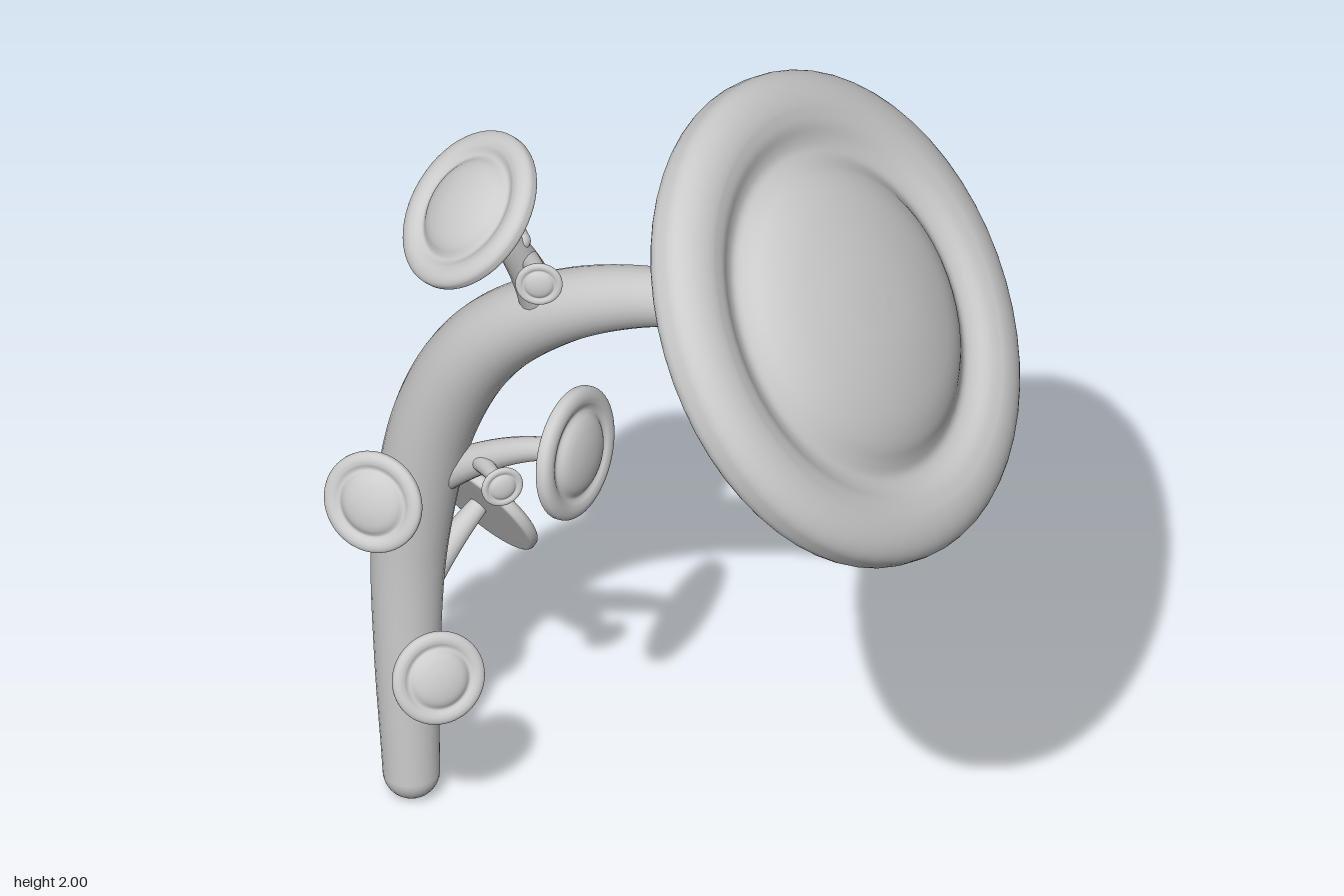
import * as THREE from 'three';

const V = (x, y, z) => new THREE.Vector3(x, y, z);

// Unit cap profile: flat back, small back fillet, broad rounded rim, groove and high central dome
function capGeometry() {
  const pts = [new THREE.Vector2(0, -0.11), new THREE.Vector2(0.6, -0.11), new THREE.Vector2(0.93, -0.11)];
  for (let i = 1; i <= 5; i++) {
    const a = -Math.PI / 2 + (i / 5) * Math.PI / 2;
    pts.push(new THREE.Vector2(0.945 + 0.055 * Math.cos(a), -0.045 + 0.065 * Math.sin(a)));
  }
  for (let i = 0; i <= 10; i++) {
    const a = (i / 10) * Math.PI / 2;
    pts.push(new THREE.Vector2(0.84 + 0.16 * Math.cos(a), 0.11 * Math.sin(a)));
  }
  const face = new THREE.SplineCurve([
    [0.84, 0.11], [0.77, 0.097], [0.71, 0.065], [0.66, 0.055], [0.61, 0.085],
    [0.55, 0.135], [0.45, 0.185], [0.3, 0.225], [0.15, 0.247], [0, 0.253],
  ].map(([x, y]) => new THREE.Vector2(x, y)));
  pts.push(...face.getPoints(32).slice(1));
  pts[pts.length - 1].x = 0;
  return new THREE.LatheGeometry(pts, 56);
}

// Tube whose rings are rescaled about the path, radius(t) for t in 0..1
function taperedTube(path, radius, segments, sides) {
  const geo = new THREE.TubeGeometry(path, segments, 1, sides);
  const pos = geo.attributes.position;
  const p = V(0, 0, 0);
  for (let i = 0; i < pos.count; i++) {
    const t = Math.floor(i / (sides + 1)) / segments;
    const c = path.getPointAt(t);
    p.fromBufferAttribute(pos, i).sub(c).multiplyScalar(radius(t)).add(c);
    pos.setXYZ(i, p.x, p.y, p.z);
  }
  geo.computeBoundingSphere();
  return geo;
}

// Sprouts: branch start, cap centre, cap normal, cap radius, bend length
const SPROUTS = [
  { name: 'lowFrontSprout', start: [-0.42, 0.27, -0.46], at: [-0.432, 0.435, -0.27], n: [0, 0.34, 0.94], r: 0.096, bend: 0.12 },
  { name: 'lowBackSprout', start: [-0.43, 0.43, -0.49], at: [-0.236, 0.612, -0.58], n: [0.79, 0.47, -0.39], r: 0.137, bend: 0.15 },
  { name: 'lowBackBud', start: [-0.36, 0.52, -0.52], at: [-0.365, 0.56, -0.69], n: [-0.45, 0.1, -0.89], r: 0.066, bend: 0.1 },
  { name: 'middleRightSprout', start: [-0.42, 0.67, -0.47], at: [-0.567, 0.896, -0.28], n: [-0.65, 0.3, 0.7], r: 0.105, bend: 0.12 },
  { name: 'middleLeftSprout', start: [-0.39, 0.81, -0.43], at: [-0.167, 0.98, -0.2], n: [0.65, 0.12, 0.74], r: 0.137, bend: 0.15 },
  { name: 'middleLeftBud', start: [-0.32, 0.89, -0.36], at: [-0.315, 0.917, -0.22], n: [0, 0.1, 1], r: 0.043, bend: 0.06 },
  { name: 'highRightSprout', start: [-0.225, 1.31, -0.215], at: [-0.403, 1.663, -0.168], n: [-0.71, 0.7, 0.05], r: 0.17, bend: 0.18 },
  { name: 'highFrontBud', start: [-0.275, 1.5, -0.18], at: [-0.295, 1.535, -0.05], n: [-0.35, 0.1, 0.93], r: 0.047, bend: 0.06 },
  { name: 'highTopBud', start: [-0.29, 1.55, -0.18], at: [-0.288, 1.635, -0.212], n: [0.25, 0.93, 0.25], r: 0.034, bend: 0.05 },
  { name: 'highLeftSprout', start: [-0.1, 1.42, -0.1], at: [0.255, 1.345, -0.02], n: [0.85, -0.28, -0.42], r: 0.135, bend: 0.17 },
];

export function createModel() {
  const model = new THREE.Group();
  const mat = new THREE.MeshStandardMaterial({ color: 0xcccccc, side: THREE.DoubleSide });
  const capGeo = capGeometry();

  const mesh = (geo, name, parent) => {
    const m = new THREE.Mesh(geo, mat);
    m.name = name;
    parent.add(m);
    return m;
  };
  const addCap = (name, parent, centre, normal, radius) => {
    const cap = mesh(capGeo, name, parent);
    cap.position.copy(centre);
    cap.scale.setScalar(radius);
    cap.quaternion.setFromUnitVectors(V(0, 1, 0), normal);
  };

  // Main arching stalk, thickest in the middle
  const stalkPath = new THREE.CatmullRomCurve3([
    V(-0.42, 0.058, -0.478), V(-0.427, 0.35, -0.483), V(-0.422, 0.65, -0.476),
    V(-0.385, 0.98, -0.418), V(-0.315, 1.2, -0.325), V(-0.205, 1.355, -0.195),
    V(-0.08, 1.447, -0.06), V(0.05, 1.503, 0.095), V(0.18, 1.55, 0.265),
  ]);
  const stalkRadius = (t) => t < 0.5
    ? THREE.MathUtils.lerp(0.055, 0.087, THREE.MathUtils.smoothstep(t, -0.1, 0.5))
    : THREE.MathUtils.lerp(0.087, 0.042, THREE.MathUtils.smoothstep(t, 0.5, 1.05));
  mesh(taperedTube(stalkPath, stalkRadius, 80, 28), 'stalk', model);

  // Rounded foot
  const foot = mesh(new THREE.SphereGeometry(stalkRadius(0), 28, 16), 'stalkFoot', model);
  foot.position.copy(stalkPath.getPoint(0));

  // Large cap at the end of the stalk
  addCap('mainCap', model, V(0.218, 1.578, 0.299), V(1, 1, 1).normalize(), 0.508);

  // Small sprouts: a tapered branch bending into the back of its cap
  for (const s of SPROUTS) {
    const group = new THREE.Group();
    group.name = s.name;
    const centre = V(...s.at);
    const normal = V(...s.n).normalize();
    const path = new THREE.QuadraticBezierCurve3(
      V(...s.start),
      centre.clone().addScaledVector(normal, -s.bend),
      centre.clone().addScaledVector(normal, -s.r * 0.04),
    );
    const r0 = 0.014 + 0.19 * s.r, r1 = 0.006 + 0.1 * s.r;
    mesh(taperedTube(path, (t) => THREE.MathUtils.lerp(r0, r1, t), 24, 16), 'branch', group);
    const root = mesh(new THREE.SphereGeometry(r0, 16, 12), 'branchRoot', group);
    root.position.set(...s.start);
    addCap('cap', group, centre, normal, s.r);
    model.add(group);
  }
  return model;
}
